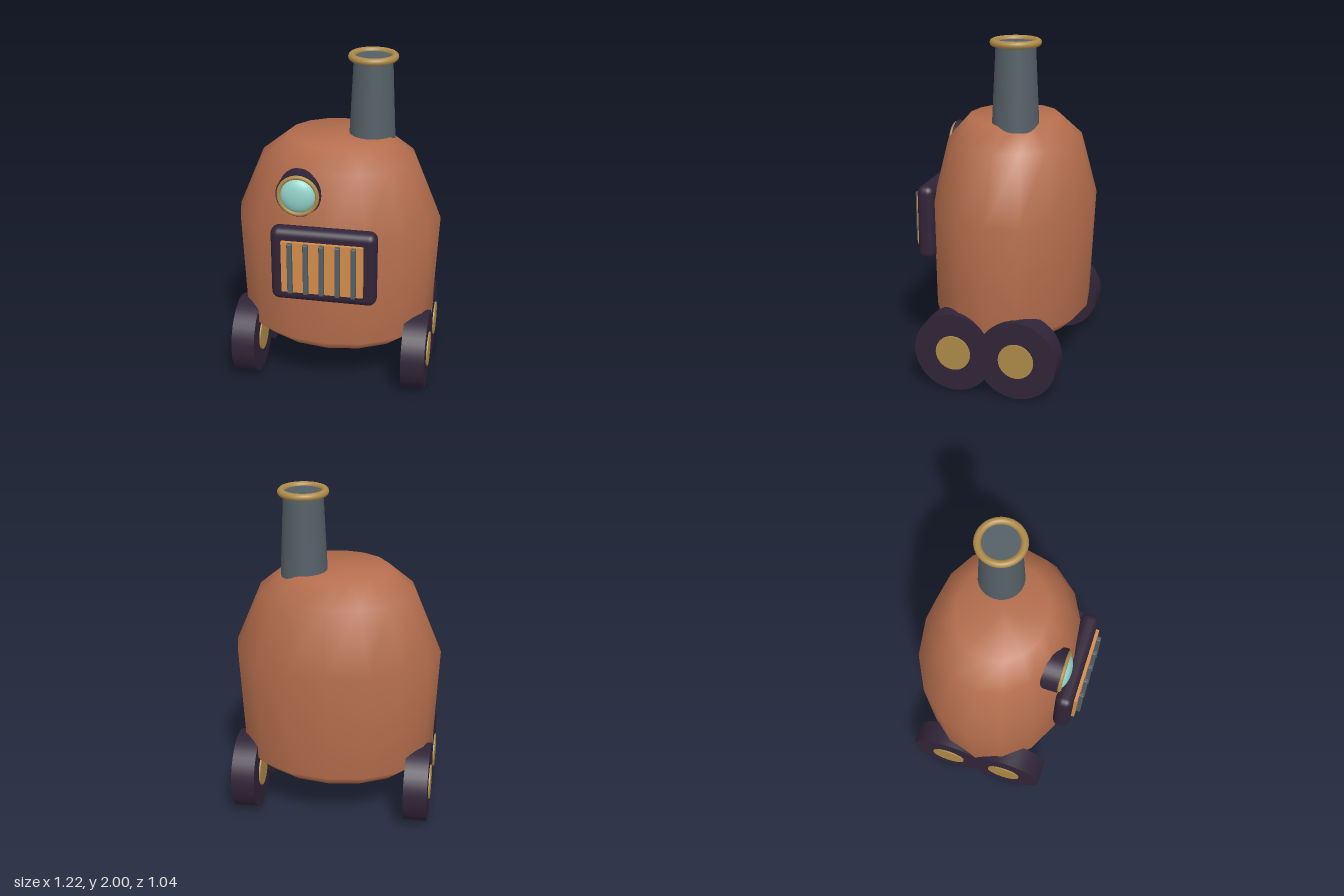
import * as THREE from 'three';
import { RoundedBoxGeometry } from 'three/addons/geometries/RoundedBoxGeometry.js';

const mat = (name, color) => {
  const m = new THREE.MeshStandardMaterial({ color });
  m.name = name;
  return m;
};

// Barrel body: stacked elliptical rings, closed at both ends, smooth normals
function bodyGeometry() {
  const sides = 16;
  // y, x radius, z radius, z centre
  const rings = [
    [0.285, 0.48, 0.37, -0.04],
    [0.37, 0.582, 0.456, -0.039],
    [1.03, 0.612, 0.474, -0.049],
    [1.4, 0.457, 0.386, -0.045],
    [1.525, 0.3, 0.265, -0.036],
  ];
  const pos = [], idx = [];
  for (const [y, rx, rz, cz] of rings) {
    for (let i = 0; i < sides; i++) {
      const a = (i / sides) * Math.PI * 2;
      pos.push(rx * Math.sin(a), y, cz + rz * Math.cos(a));
    }
  }
  const last = (rings.length - 1) * sides;
  const bottom = rings.length * sides, top = bottom + 1;
  pos.push(0, 0.285, -0.04, 0, 1.525, -0.036);
  for (let i = 0; i < sides; i++) {
    const n = (i + 1) % sides;
    for (let j = 0; j < last; j += sides) {
      idx.push(j + i, j + n, j + sides + n, j + i, j + sides + n, j + sides + i);
    }
    idx.push(bottom, n, i, top, last + i, last + n);
  }
  const g = new THREE.BufferGeometry();
  g.setAttribute('position', new THREE.Float32BufferAttribute(pos, 3));
  g.setIndex(idx);
  g.computeVertexNormals();
  return g;
}

export function createModel() {
  const copper = mat('copper', 0xb56e4d);
  const dark = mat('dark plum', 0x302438);
  const brass = mat('brass', 0xae8a49);
  const slate = mat('slate', 0x545f66);
  const orange = mat('orange', 0xd48b49);
  const glass = mat('pale glass', 0x92d2c9);

  const root = new THREE.Group();
  root.name = 'boilerCart';
  const add = (name, geometry, material, x = 0, y = 0, z = 0, parent = root) => {
    const m = new THREE.Mesh(geometry, material);
    m.name = name;
    m.position.set(x, y, z);
    parent.add(m);
    return m;
  };
  const group = (name) => {
    const g = new THREE.Group();
    g.name = name;
    root.add(g);
    return g;
  };

  add('body', bodyGeometry(), copper);

  // Chimney with a brass lip
  const chimney = group('chimney');
  chimney.position.set(0.187, 0, -0.1);
  add('chimneyPipe', new THREE.CylinderGeometry(0.112, 0.141, 0.6, 32), slate, 0, 1.68, 0, chimney);
  add('chimneyLip', new THREE.TorusGeometry(0.124, 0.021, 12, 40), brass, 0, 1.979, 0, chimney).rotation.x = Math.PI / 2;

  // Wheels, two on each side, with hubs showing on both faces
  const tire = new THREE.CylinderGeometry(0.236, 0.236, 0.14, 40).rotateZ(Math.PI / 2);
  const hub = new THREE.CylinderGeometry(0.104, 0.104, 0.158, 28).rotateZ(Math.PI / 2);
  for (const side of [1, -1]) {
    for (const [end, z] of [['front', 0.152], ['rear', -0.224]]) {
      const wheel = group(end + (side > 0 ? 'LeftWheel' : 'RightWheel'));
      wheel.position.set(side * 0.516, 0.237, z);
      add('tire', tire, dark, 0, 0, 0, wheel);
      add('hub', hub, brass, 0, 0, 0, wheel);
    }
  }

  // Grille: rounded frame, glowing plate and bars
  const grille = group('grille');
  add('grilleFrame', new RoundedBoxGeometry(0.61, 0.455, 0.105, 5, 0.046), dark, 0, 0.898, 0.424, grille);
  add('grillePlate', new THREE.BoxGeometry(0.47, 0.315, 0.03), orange, 0, 0.9, 0.481, grille);
  for (let i = -2; i <= 2; i++) {
    add('grilleBar', new RoundedBoxGeometry(0.028, 0.312, 0.035, 2, 0.006), slate, i * 0.091, 0.9, 0.504, grille);
  }

  // Round lamp eye, half sunk into the body
  const lamp = group('lamp');
  lamp.position.set(-0.156, 1.295, 0);
  add('lampHousing', new THREE.CylinderGeometry(0.13, 0.13, 0.13, 32).rotateX(Math.PI / 2), dark, 0, 0, 0.31, lamp);
  add('lampRing', new THREE.TorusGeometry(0.111, 0.012, 10, 40), brass, 0, 0, 0.383, lamp);
  add('lampGlass', new THREE.SphereGeometry(0.103, 32, 16), glass, 0, 0, 0.376, lamp).scale.z = 0.46;

  return root;
}
